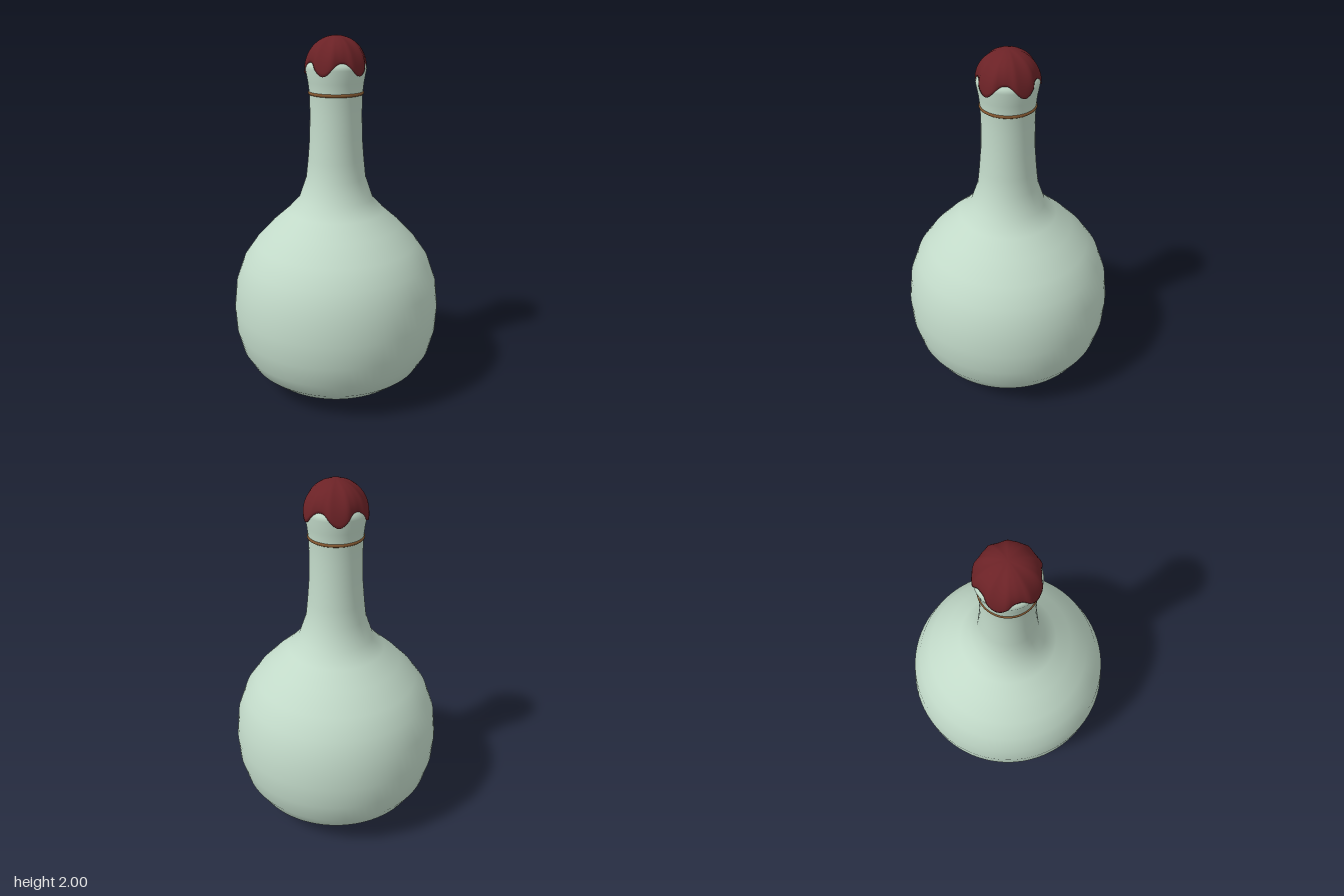
import * as THREE from 'three';
import { mergeVertices } from 'three/addons/utils/BufferGeometryUtils.js';

const SEGMENTS = 80;

function material(name, color) {
  const m = new THREE.MeshStandardMaterial({ color });
  m.name = name;
  return m;
}

function lathe(profile) {
  return new THREE.LatheGeometry(profile.map(([r, y]) => new THREE.Vector2(r, y)), SEGMENTS);
}

// Domed wax cap whose lower edge runs down in five drips, one at the back
function waxGeometry() {
  const rows = 18;
  const geo = lathe(Array.from({ length: rows + 1 }, (_, i) => [1, i]));
  const pos = geo.attributes.position;
  for (let i = 0; i < pos.count; i++) {
    const phi = (Math.floor(i / (rows + 1)) % SEGMENTS) / SEGMENTS * Math.PI * 2;
    const row = i % (rows + 1);
    const drip = Math.pow(0.5 + 0.5 * Math.cos(5 * (phi - Math.PI)), 1.2);
    const edgeY = 1.867 - 0.067 * drip;
    const edgeR = 0.168 - 0.016 * THREE.MathUtils.smoothstep(edgeY, 1.83, 1.868);
    // Row 0 turns the rim inward to the glass
    const a = Math.max(0, row - 1) / (rows - 1) * Math.PI / 2;
    const r = row === 0 ? edgeR - 0.014 : row === rows ? 0 : edgeR * Math.cos(a);
    pos.setXYZ(i, r * Math.sin(phi), edgeY + (2 - edgeY) * Math.sin(a), r * Math.cos(phi));
  }
  geo.deleteAttribute('uv');
  geo.deleteAttribute('normal');
  const merged = mergeVertices(geo, 1e-5);
  merged.computeVertexNormals();
  return merged;
}

export function createModel() {
  const group = new THREE.Group();
  group.name = 'sealedFlask';
  const add = (name, geo, mat) => {
    const mesh = new THREE.Mesh(geo, mat);
    mesh.name = name;
    group.add(mesh);
    return mesh;
  };

  // Round body, tall neck and flared lip
  add('bottle', lathe([
    [0, 0], [0.18, 0.025], [0.32, 0.045], [0.425, 0.085], [0.5, 0.15], [0.552, 0.24],
    [0.582, 0.36], [0.589, 0.49], [0.572, 0.64], [0.525, 0.77], [0.455, 0.87],
    [0.36, 0.97], [0.27, 1.05], [0.206, 1.12], [0.165, 1.24], [0.154, 1.34],
    [0.144, 1.46], [0.141, 1.6], [0.143, 1.7], [0.15, 1.76], [0.163, 1.83],
    [0.158, 1.85], [0.148, 1.865], [0.12, 1.89], [0.06, 1.92], [0, 1.93],
  ]), material('paleGreenGlass', 0xc2dac9));

  // Thin cord around the neck
  const cord = add('neckCord', new THREE.TorusGeometry(0.141, 0.009, 10, SEGMENTS),
    material('brownCord', 0x80552f));
  cord.rotation.x = Math.PI / 2;
  cord.position.y = 1.702;

  add('waxSeal', waxGeometry(), material('darkRedWax', 0x6b2226));
  return group;
}
